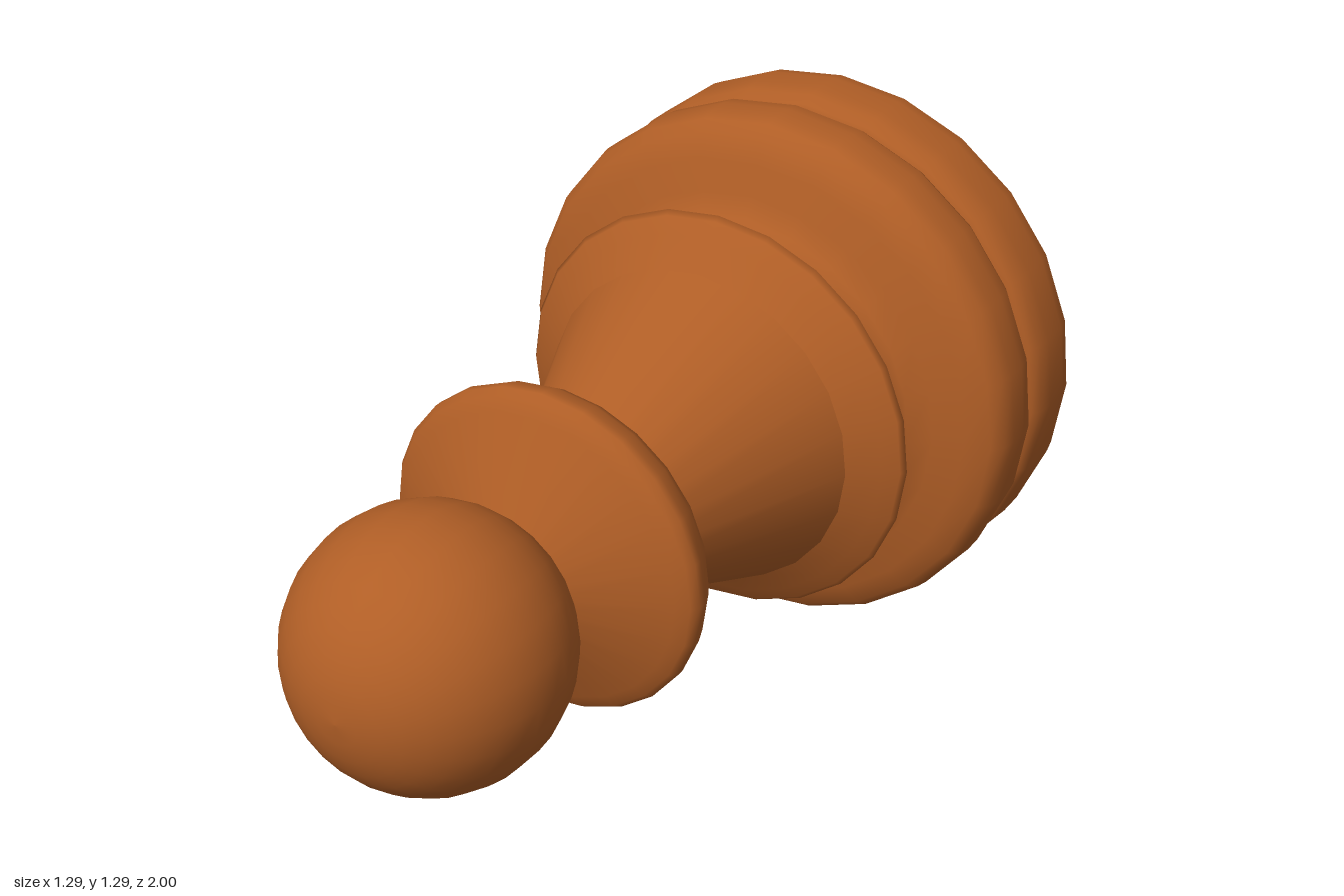
import * as THREE from 'three';

const SIDES = 24;
const RADIUS = 0.645;
const HEAD_RADIUS = 0.3;
const HEAD_CENTRE = 0.7;

export function createModel() {
  const model = new THREE.Group();
  model.name = 'pawn';
  const wood = new THREE.MeshStandardMaterial({ color: 0xb05e26 });

  // Turned parts: [radius, position along the axis], from the foot to the head
  const turn = (name, profile) => {
    const points = profile.map(([r, h]) => new THREE.Vector2(r, h));
    const mesh = new THREE.Mesh(new THREE.LatheGeometry(points, SIDES), wood);
    mesh.name = name;
    model.add(mesh);
  };

  // Foot disc with rounded rims
  turn('foot', [
    [0, -1], [0.54, -1], [0.59, -0.998], [0.62, -0.985], [0.637, -0.96], [0.645, -0.92],
    [0.645, -0.85], [0.64, -0.81], [0.625, -0.787], [0.6, -0.778], [0.56, -0.775],
  ]);

  // Second disc sweeping into a waist
  turn('base', [
    [0.56, -0.775], [0.6, -0.772], [0.625, -0.765], [0.64, -0.74], [0.645, -0.7],
    [0.645, -0.65], [0.637, -0.615], [0.615, -0.586], [0.56, -0.562], [0.49, -0.545],
    [0.438, -0.523], [0.416, -0.49], [0.418, -0.46], [0.44, -0.438],
    [0.48, -0.415], [0.5, -0.4], [0.49, -0.387], [0.455, -0.365], [0.39, -0.316],
  ]);

  // Tapering stem
  turn('stem', [[0.39, -0.316], [0.17, 0.21]]);

  // Collar: flat underside, rounded rim, sloping top
  turn('collarUnderside', [[0.15, 0.204], [0.335, 0.204]]);
  turn('collar', [
    [0.335, 0.204], [0.355, 0.215], [0.37, 0.24], [0.383, 0.275], [0.383, 0.295],
    [0.37, 0.312], [0.34, 0.325], [0.115, 0.43],
  ]);

  // Ball head, cut where it meets the collar
  const head = [[0.115, 0.43]];
  const steps = 16;
  for (let i = 0; i <= steps; i++) {
    const a = THREE.MathUtils.lerp(-0.95, Math.PI / 2, i / steps);
    head.push([
      Math.max(0, HEAD_RADIUS * Math.cos(a)),
      HEAD_CENTRE + HEAD_RADIUS * Math.sin(a),
    ]);
  }
  turn('head', head);

  // Lay the piece on its side with the head facing forward
  model.rotation.x = Math.PI / 2;
  model.position.y = RADIUS;
  const root = new THREE.Group();
  root.name = 'lyingPawn';
  root.add(model);
  return root;
}
